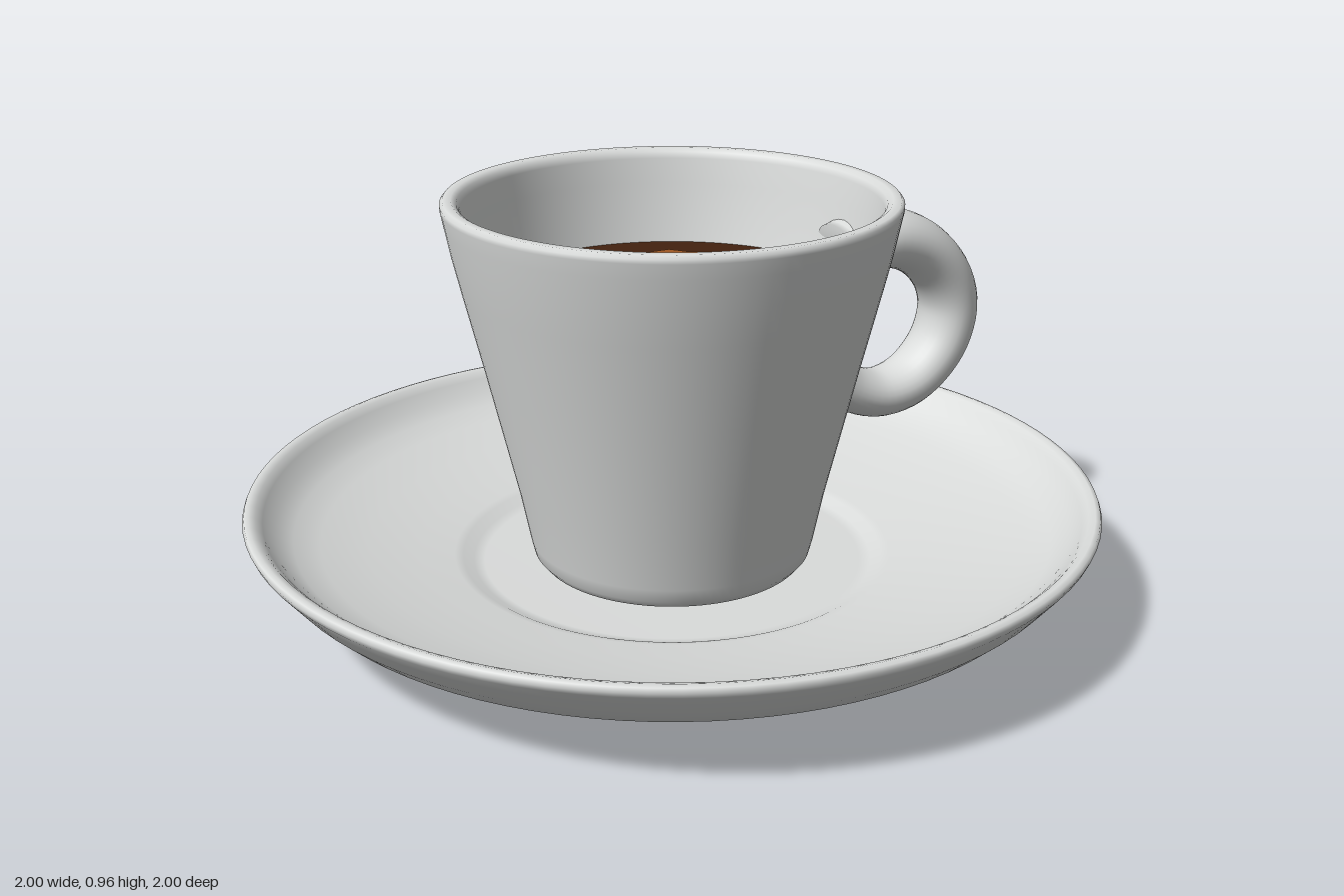
import * as THREE from 'three';
import { mergeVertices } from 'three/addons/utils/BufferGeometryUtils.js';

const porcelain = new THREE.MeshStandardMaterial({ color: 0xdadcdb });
porcelain.name = 'porcelain';
const coffeeBrown = new THREE.MeshStandardMaterial({ color: 0x43220f });
coffeeBrown.name = 'coffee brown';
const cremaTan = new THREE.MeshStandardMaterial({ color: 0xa05823 });
cremaTan.name = 'crema tan';

const toVectors = (pairs) => pairs.map(([x, y]) => new THREE.Vector2(x, y));

function addMesh(parent, name, geometry, material) {
  const mesh = new THREE.Mesh(geometry, material);
  mesh.name = name;
  parent.add(mesh);
  return mesh;
}

// Smooth turned shape; the profile runs from the underside, out, up and back in
const turned = (pairs) => new THREE.LatheGeometry(toVectors(pairs), 96);

// Tapered oval tube along a planar curve, closed at both ends
function handleGeometry(curve, rows, sides) {
  const geometry = new THREE.PlaneGeometry(1, 1, sides, rows);
  const pos = geometry.attributes.position;
  for (let i = 0; i < pos.count; i++) {
    const row = Math.floor(i / (sides + 1));
    const angle = ((i % (sides + 1)) % sides) / sides * Math.PI * 2;
    const t = THREE.MathUtils.clamp((row - 1) / (rows - 2), 0, 1);
    const p = curve.getPointAt(t);
    const d = curve.getTangentAt(t);
    const open = row === 0 || row === rows ? 0 : 1;
    const thick = THREE.MathUtils.lerp(0.077, 0.055, t) * open * Math.cos(angle);
    const wide = THREE.MathUtils.lerp(0.099, 0.073, t) * open * Math.sin(angle);
    pos.setXYZ(i, p.x + d.y * thick, p.y - d.x * thick, wide);
  }
  geometry.deleteAttribute('normal');
  geometry.deleteAttribute('uv');
  const welded = mergeVertices(geometry, 1e-5);
  welded.computeVertexNormals();
  return welded;
}

export function createModel() {
  const model = new THREE.Group();
  model.name = 'coffeeCupAndSaucer';

  // Saucer with a foot ring below and a shallow well above
  addMesh(model, 'saucer', turned([
    [0, 0.022], [0.42, 0.022], [0.435, 0.021], [0.46, 0.008], [0.48, 0.003], [0.535, 0.002],
    [0.55, 0.006], [0.563, 0.02], [0.585, 0.03], [0.64, 0.043], [0.75, 0.07], [0.84, 0.102],
    [0.9, 0.135], [0.94, 0.172], [0.975, 0.215], [0.995, 0.24], [1, 0.252], [0.996, 0.262],
    [0.985, 0.265], [0.97, 0.26], [0.955, 0.245], [0.93, 0.215], [0.89, 0.188], [0.83, 0.166],
    [0.72, 0.138], [0.6, 0.115], [0.52, 0.102], [0.5, 0.098], [0.475, 0.085], [0.45, 0.08], [0, 0.08],
  ]), porcelain);

  // Cup body: flared wall, rounded lip and hollow inside
  const cup = new THREE.Group();
  cup.name = 'cup';
  model.add(cup);
  addMesh(cup, 'cupBody', turned([
    [0, 0.082], [0.29, 0.082], [0.315, 0.09], [0.33, 0.108], [0.338, 0.14], [0.362, 0.26],
    [0.435, 0.57], [0.48, 0.755], [0.5, 0.84], [0.514, 0.91], [0.521, 0.945], [0.521, 0.955],
    [0.514, 0.963], [0.495, 0.963], [0.483, 0.955], [0.477, 0.94], [0.468, 0.88], [0.44, 0.735],
    [0.4, 0.57], [0.32, 0.22], [0.28, 0.16], [0, 0.15],
  ]), porcelain);

  // Curled handle on the left side
  const curl = new THREE.CatmullRomCurve3([
    [0.455, 0.765], [0.56, 0.795], [0.67, 0.76], [0.75, 0.68], [0.776, 0.595], [0.75, 0.5],
    [0.67, 0.42], [0.575, 0.396], [0.49, 0.42], [0.4, 0.485],
  ].map(([x, y]) => new THREE.Vector3(x, y, 0)));
  addMesh(cup, 'handle', handleGeometry(curl, 48, 28), porcelain);

  // Coffee surface
  const coffee = addMesh(cup, 'coffee', new THREE.CircleGeometry(0.441, 96), coffeeBrown);
  coffee.rotation.x = -Math.PI / 2;
  coffee.position.y = 0.735;

  // Irregular patch of crema floating on the coffee
  const patch = new THREE.Shape(toVectors([
    [-0.13, 0.315], [0.155, 0.315], [0.19, 0.27], [0.26, 0.235], [0.31, 0.17], [0.385, 0.11],
    [0.395, 0.03], [0.385, -0.085], [0.37, -0.2], [0.325, -0.285], [0.245, -0.33], [0.2, -0.345],
    [0.15, -0.39], [0.075, -0.4], [0.005, -0.41], [-0.07, -0.39], [-0.135, -0.363], [-0.235, -0.353],
    [-0.275, -0.305], [-0.325, -0.24], [-0.358, -0.165], [-0.342, -0.085], [-0.363, 0.01],
    [-0.358, 0.065], [-0.305, 0.11], [-0.272, 0.2], [-0.225, 0.225], [-0.19, 0.285],
  ]));
  const crema = addMesh(cup, 'crema', new THREE.ShapeGeometry(patch), cremaTan);
  crema.rotation.x = -Math.PI / 2;
  crema.position.y = 0.739;

  return model;
}
